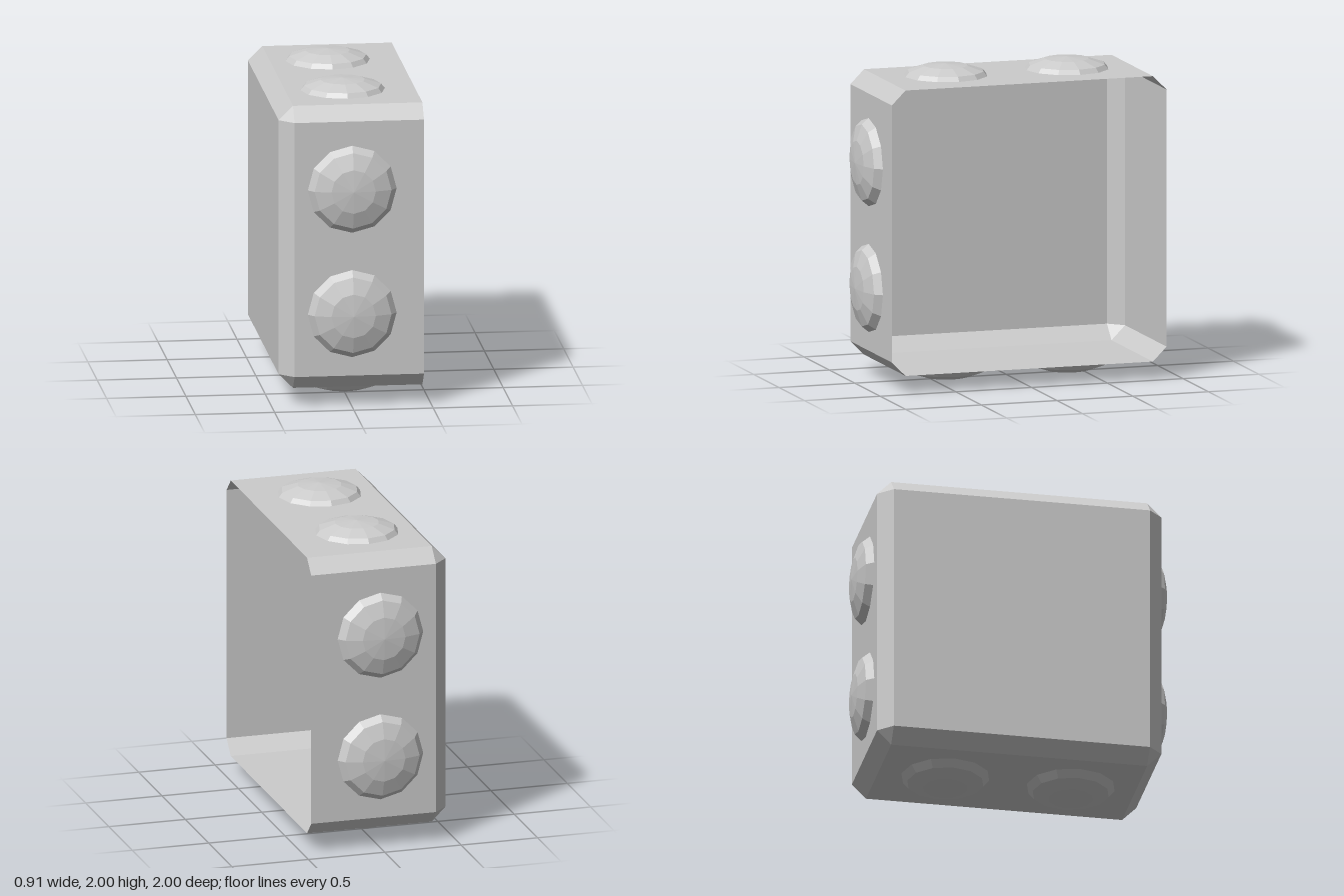
import * as THREE from 'three';

const HALF = 0.907;    // half height and half depth of the shell
const WIDTH = 0.453;   // half width
const BEVEL = 0.09;
const SHELL_Y = 1.018;

// Chamfered box, open on its +x side, lofted from loops around the x axis
function shellGeometry() {
  const h = HALF, i = HALF - BEVEL;
  const octagon = [[h, -i], [h, i], [i, h], [-i, h], [-h, i], [-h, -i], [-i, -h], [i, -h]];
  const rect = [[i, -i], [i, i], [i, i], [-i, i], [-i, i], [-i, -i], [-i, -i], [i, -i]];
  const loop = (points, x) => points.map(([y, z]) => [x, y, z]);
  const loops = [loop(rect, -WIDTH), loop(octagon, BEVEL - WIDTH), loop(octagon, WIDTH)];
  const positions = [];
  const triangle = (a, b, c) => positions.push(...a, ...b, ...c);

  for (let l = 0; l < 2; l++) {
    for (let k = 0; k < 8; k++) {
      const n = (k + 1) % 8;
      const [a, b, c, d] = [loops[l][k], loops[l][n], loops[l + 1][n], loops[l + 1][k]];
      // Corner bevels end in a point, so they need one triangle only
      if (l === 1 || k % 2 === 0) triangle(a, b, c);
      triangle(a, c, d);
    }
  }
  // Closed side panel
  const [r0, r1, r2, r3] = [0, 1, 3, 5].map((k) => loops[0][k]);
  triangle(r0, r2, r1);
  triangle(r0, r3, r2);

  const geometry = new THREE.BufferGeometry();
  geometry.setAttribute('position', new THREE.Float32BufferAttribute(positions, 3));
  geometry.computeVertexNormals();
  return geometry;
}

export function createModel() {
  const group = new THREE.Group();
  const material = new THREE.MeshStandardMaterial({
    color: 0xcccccc, flatShading: true, side: THREE.DoubleSide,
  });

  const shell = new THREE.Mesh(shellGeometry(), material);
  shell.name = 'openShell';
  shell.position.y = SHELL_Y;
  group.add(shell);

  // Flattened half-sphere studs, two on each of the four outer walls
  const studGeometry = new THREE.SphereGeometry(0.28, 12, 3, 0, Math.PI * 2, 0, Math.PI / 2);
  studGeometry.scale(1, 0.092 / 0.28, 1);
  ['top', 'front', 'bottom', 'back'].forEach((side, s) => {
    const wall = new THREE.Group();
    wall.name = side + 'Studs';
    wall.position.y = 1;
    wall.rotation.x = s * Math.PI / 2;
    for (const z of [-0.4, 0.4]) {
      const stud = new THREE.Mesh(studGeometry, material);
      stud.name = 'stud';
      stud.position.set(0, 0.908, z);
      wall.add(stud);
    }
    group.add(wall);
  });

  return group;
}
